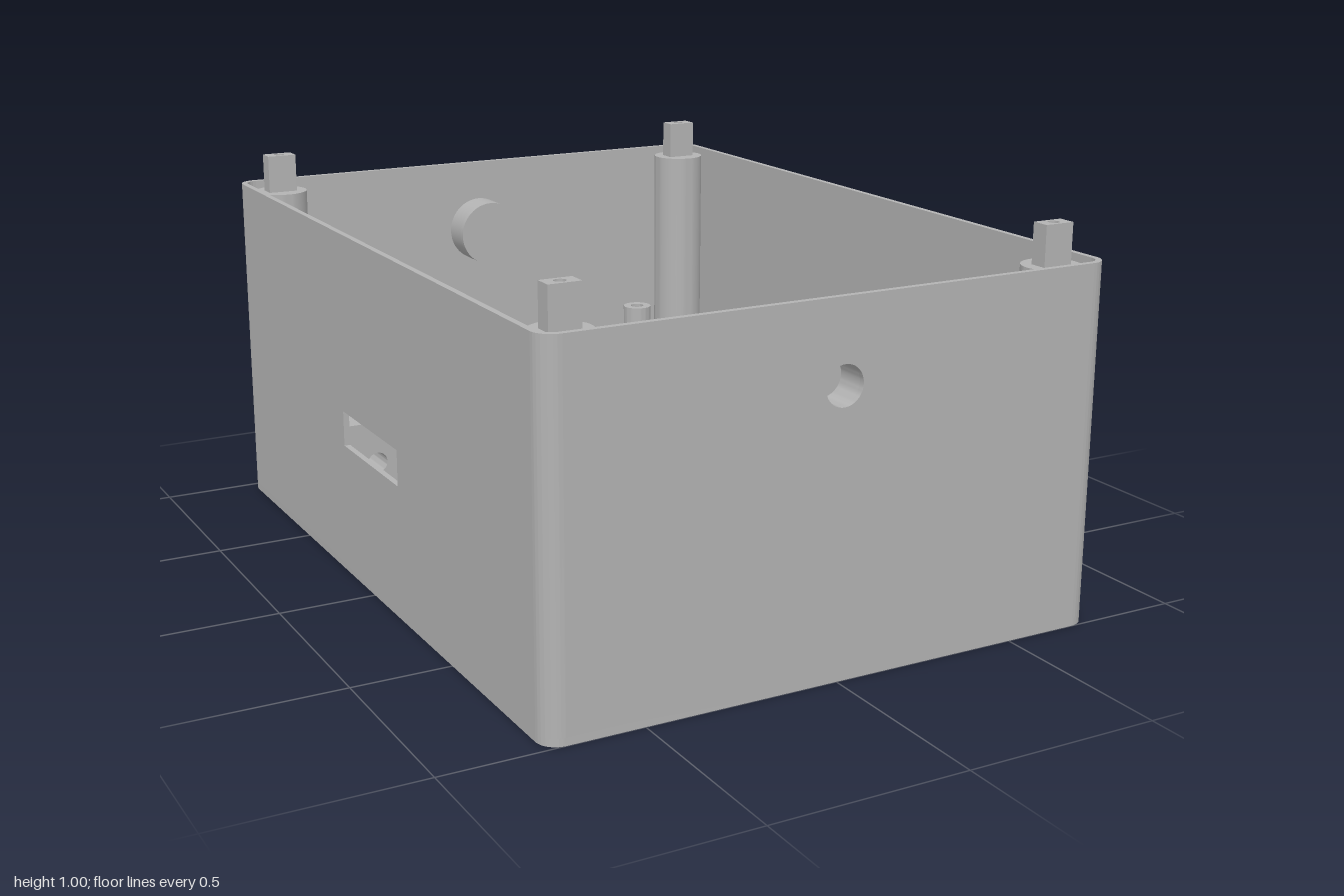
import * as THREE from 'three';
import { toCreasedNormals } from 'three/addons/utils/BufferGeometryUtils.js';

const W = 0.745, D = 1, H = 0.915; // half width, half depth, wall height
const T = 0.0155, R = 0.05, FLOOR = 0.02; // wall thickness, corner radius, floor thickness
const plastic = new THREE.MeshStandardMaterial({ color: 0xb3b3b3 });
plastic.name = 'grey plastic';

function circle(x, y, r) {
  return new THREE.Shape().absarc(x, y, r, 0, Math.PI * 2, false);
}

function rect(x0, y0, x1, y1) {
  return new THREE.Shape([[x0, y0], [x1, y0], [x1, y1], [x0, y1]].map(p => new THREE.Vector2(...p)));
}

function pierced(shape, ...holes) {
  shape.holes.push(...holes);
  return shape;
}

// Extrudes a shape along z, keeping edges sharp and curves smooth
function extrude(shape, z0, z1) {
  const g = new THREE.ExtrudeGeometry(shape, { depth: z1 - z0, bevelEnabled: false, curveSegments: 24 });
  g.translate(0, 0, z0);
  return toCreasedNormals(g, 0.6);
}

// Extrudes a plan shape upward from y0 to y1
const upright = (shape, y0, y1) => extrude(shape, y0, y1).rotateX(-Math.PI / 2);

const mirrored = (x, z) => [[x, z], [-x, z], [-x, -z], [x, -z]];

export function createModel() {
  const model = new THREE.Group();
  model.name = 'enclosure';
  const add = (name, geometry, x = 0, y = 0, z = 0, turn = 0) => {
    const mesh = new THREE.Mesh(geometry, plastic);
    mesh.name = name;
    mesh.position.set(x, y, z);
    mesh.rotation.y = turn;
    model.add(mesh);
  };

  // Floor with two cable openings and eight screw holes
  const plan = new THREE.Shape();
  plan.absarc(W - R, D - R, R, 0, Math.PI / 2);
  plan.absarc(R - W, D - R, R, Math.PI / 2, Math.PI);
  plan.absarc(R - W, R - D, R, Math.PI, Math.PI * 1.5);
  plan.absarc(W - R, R - D, R, Math.PI * 1.5, Math.PI * 2);
  pierced(plan, circle(-0.585, 0, 0.093), circle(0.585, 0, 0.093));
  for (const p of [...mirrored(0.65, 0.9), ...mirrored(0.46, 0.75)]) plan.holes.push(circle(...p, 0.014));
  add('floor', upright(plan, 0, FLOOR));

  // Walls: round ports front and back, slot in the right side
  const endWall = extrude(pierced(rect(R - W, FLOOR, W - R, H), circle(0, 0.71, 0.05)), D - T, D);
  add('frontWall', endWall);
  add('backWall', endWall, 0, 0, 0, Math.PI);
  add('leftWall', extrude(rect(R - D, FLOOR, D - R, H), W - T, W), 0, 0, 0, Math.PI / 2);
  const slotted = pierced(rect(R - D, FLOOR, D - R, H), rect(-0.185, 0.35, 0.185, 0.443));
  add('rightWall', extrude(slotted, W - T, W), 0, 0, 0, -Math.PI / 2);

  // Rounded wall corners
  const arc = new THREE.Shape();
  arc.absarc(0, 0, R, 0, Math.PI / 2, false);
  arc.absarc(0, 0, R - T, Math.PI / 2, 0, true);
  const corner = upright(arc, FLOOR, H);
  [[1, -1], [-1, -1], [-1, 1], [1, 1]].forEach(([sx, sz], k) =>
    add('wallCorner', corner, sx * (W - R), 0, sz * (D - R), k * Math.PI / 2));

  // Blind bosses behind the round ports
  const bossRing = extrude(pierced(circle(0, 0.71, 0.093), circle(0, 0.71, 0.05)), 0.91, D - T);
  const bossCap = extrude(circle(0, 0.71, 0.093), 0.895, 0.91);
  for (const turn of [0, Math.PI]) {
    add('portBoss', bossRing, 0, 0, 0, turn);
    add('portBossCap', bossCap, 0, 0, 0, turn);
  }

  // Corner pillars topped with bored rectangular pegs
  const pillar = upright(pierced(circle(0, 0, 0.073), circle(0, 0, 0.014)), FLOOR, 0.897);
  const peg = upright(pierced(rect(-0.04, -0.0235, 0.04, 0.0235), circle(0, 0, 0.014)), 0.897, 1);
  for (const [x, z] of mirrored(0.65, 0.9)) {
    add('cornerPillar', pillar, x, 0, z);
    add('lidPeg', peg, x, 0, z);
  }

  // Tall standoffs with blind screw holes, and short screw posts
  const standoffTube = upright(pierced(circle(0, 0, 0.04), circle(0, 0, 0.019)), 0.4, 0.515);
  const standoffBase = upright(circle(0, 0, 0.04), FLOOR, 0.4);
  for (const [x, z] of mirrored(0.333, 0.583)) {
    add('standoffTop', standoffTube, x, 0, z);
    add('standoffBase', standoffBase, x, 0, z);
  }
  const post = upright(circle(0, 0, 0.04), FLOOR, 0.08);
  for (const [x, z] of mirrored(0.46, 0.75)) add('screwPost', post, x, 0, z);

  // Hinge blocks on both sides of the slot
  const block = extrude(pierced(rect(T - W, FLOOR, -0.585, 0.4), circle(-0.655, 0.29, 0.027)), -0.0575, 0.0575);
  for (const z of [-0.2425, 0.2425]) add('hingeBlock', block, 0, 0, z);

  return model;
}
